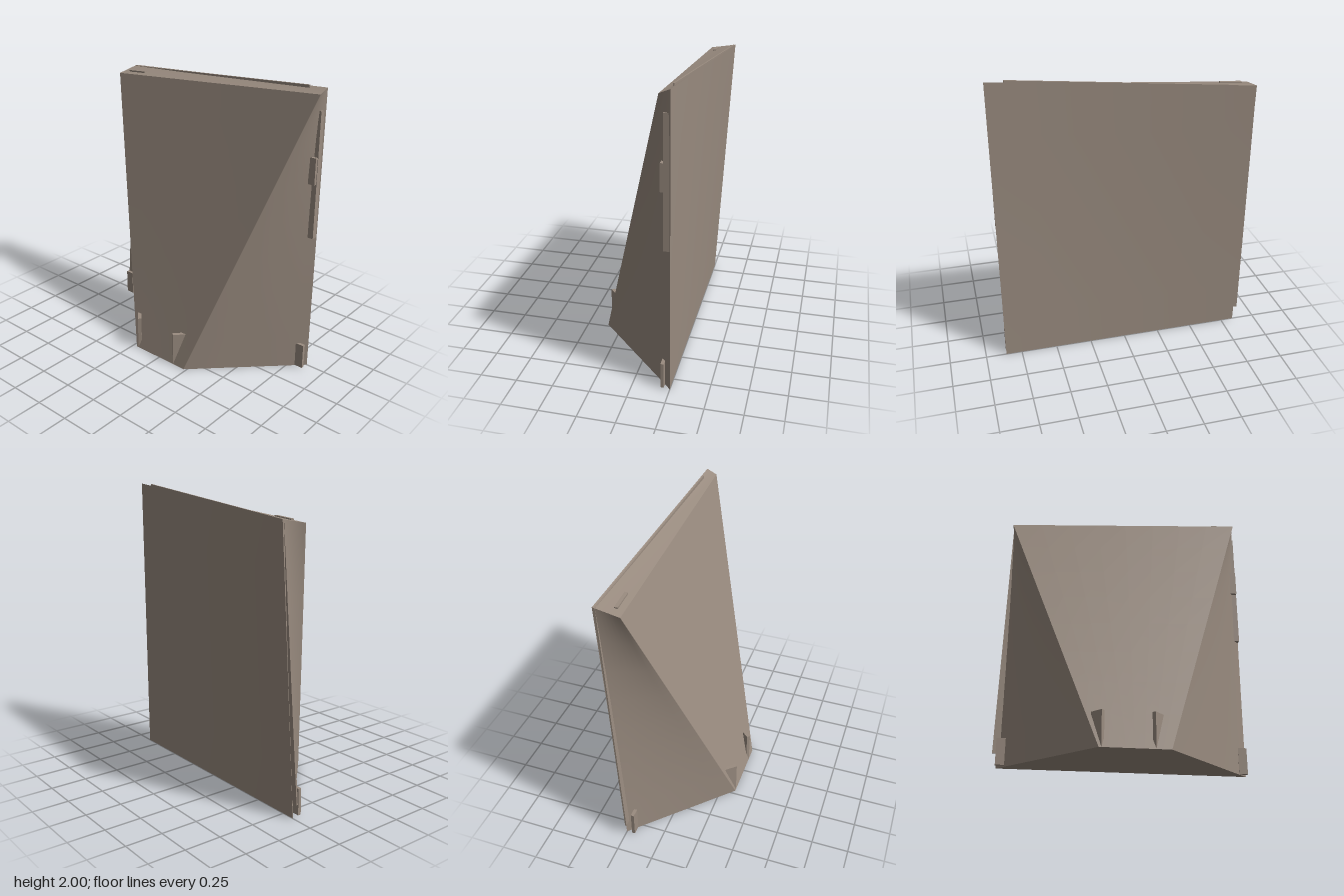
import * as THREE from 'three';
import { mergeGeometries } from 'three/addons/utils/BufferGeometryUtils.js';

const V = (x, y, z) => new THREE.Vector3(x, y, z);

// Bilinear face; corners run counterclockwise seen from outside.
function patch(a, b, c, d, n = 1) {
  const g = new THREE.PlaneGeometry(1, 1, n, n);
  const p = g.attributes.position;
  for (let i = 0; i < p.count; i++) {
    const u = p.getX(i) + 0.5, v = p.getY(i) + 0.5;
    const low = a.clone().lerp(b, u), high = d.clone().lerp(c, u);
    low.lerp(high, v);
    p.setXYZ(i, low.x, low.y, low.z);
  }
  g.computeVertexNormals();
  return g;
}

export function createModel() {
  const group = new THREE.Group();
  const stone = new THREE.MeshStandardMaterial({ color: 0x9a8c80 });
  stone.name = 'warm grey stone';

  const add = (name, geometry) => {
    const mesh = new THREE.Mesh(geometry, stone);
    mesh.name = name;
    group.add(mesh);
    return mesh;
  };

  // Corners: top/base, front/back, inner (-x) / outer (+x)
  const tfi = V(0.18, 1.97, 0.865), tfo = V(0.25, 2, 0.87);
  const tbi = V(0.18, 1.84, -0.835), tbo = V(0.355, 1.87, -0.83);
  const bfo = V(0.25, 0, 0.86), bbo = V(0.25, 0, -0.84);
  const footF = V(-0.355, 0, 0.23), footB = V(-0.355, 0, -0.22);

  // Twisted wall face and sloping top edge
  add('wallFace', patch(bfo, bbo, tbo, tfo, 6));
  add('wallTop', patch(tfi, tfo, tbo, tbi));

  // Buttress: inner slope and the two flanks running out to the wall face
  add('buttressSlope', patch(footB, footF, tfi, tbi, 8));
  add('frontFlank', patch(footF, bfo, tfo, tfi, 8));
  add('backFlank', patch(bbo, footB, tbi, tbo, 8));
  add('base', patch(footB, bbo, bfo, footF));

  // Thin core panel that peeks out at the back and top edges
  const outer = [V(0.24, 0.1, 0.8), V(0.246, 0.1, -0.87), V(0.346, 1.868, -0.832), V(0.245, 2, 0.75)];
  const inner = outer.map((p) => p.clone().add(V(-0.01, 0, 0)));
  const sides = [patch(...outer, 6), patch(inner[1], inner[0], inner[3], inner[2], 6)];
  for (let i = 0; i < 4; i++) {
    const j = (i + 1) % 4;
    sides.push(patch(inner[i], inner[j], outer[j], outer[i]));
  }
  add('corePanel', mergeGeometries(sides));

  // Small lugs on the edges: name, size, position
  const lugs = [
    ['frontLowerLug', [0.022, 0.18, 0.06], [0.198, 0.095, 0.828]],
    ['frontUpperLug', [0.026, 0.18, 0.06], [0.198, 1.47, 0.83]],
    ['frontStrip', [0.038, 0.86, 0.05], [0.225, 1.43, 0.838]],
    ['backLowerLug', [0.022, 0.18, 0.06], [0.198, 0.1, -0.815]],
    ['topBackLug', [0.022, 0.016, 0.15], [0.232, 1.86, -0.7]],
  ];
  for (const [name, size, pos] of lugs) {
    const lug = add(name, new THREE.BoxGeometry(...size));
    lug.position.set(...pos);
    if (name === 'topBackLug') lug.rotation.x = -0.076;
  }

  // Upright fins at the foot of the slope
  for (const [name, z, turn] of [['backFin', -0.225, 0.75], ['frontFin', 0.155, -0.75]]) {
    const fin = add(name, new THREE.BoxGeometry(0.09, 0.24, 0.025));
    fin.position.set(-0.313, 0.12, z);
    fin.rotation.y = turn;
  }
  return group;
}
